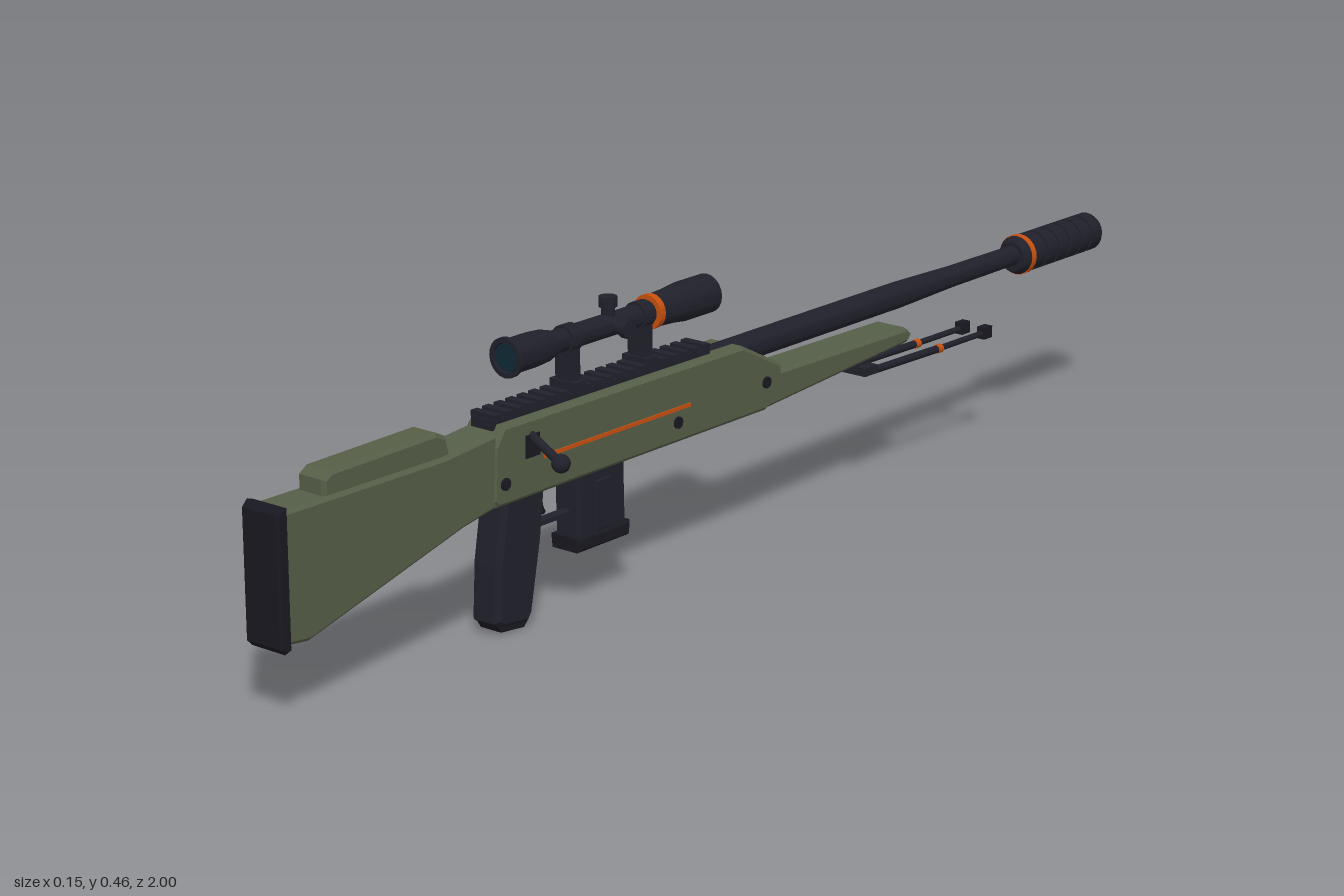
import * as THREE from 'three';
import { toCreasedNormals } from 'three/addons/utils/BufferGeometryUtils.js';

const paint = (name, color) => {
  const m = new THREE.MeshStandardMaterial({ color });
  m.name = name;
  return m;
};

export function createModel() {
  const green = paint('olive green', 0x555e47);
  const dark = paint('gunmetal', 0x20202b);
  const black = paint('rubber black', 0x181820);
  const orange = paint('orange accent', 0xc8500f);
  const glass = paint('lens glass', 0x0f2832);

  const model = new THREE.Group();
  model.name = 'rifle';
  const body = new THREE.Group(); // everything is built around the bore plane
  body.name = 'rifleBody';
  body.position.x = -0.0335;
  model.add(body);

  const add = (name, geo, mat, x = 0, y = 0, z = 0) => {
    const m = new THREE.Mesh(geo, mat);
    m.name = name;
    m.position.set(x, y, z);
    body.add(m);
    return m;
  };

  // Side outline in (z, y), extruded across x with bevelled edges
  const slab = (name, pts, half, bevel, mat) => {
    const shape = new THREE.Shape(pts.map(([z, y]) => new THREE.Vector2(z, y)));
    const geo = new THREE.ExtrudeGeometry(shape, {
      depth: 2 * (half - bevel), bevelEnabled: true, bevelSize: bevel,
      bevelThickness: bevel, bevelOffset: -bevel, bevelSegments: 1,
    });
    geo.translate(0, 0, -(half - bevel));
    geo.rotateY(-Math.PI / 2);
    return add(name, geo, mat);
  };

  // Turned part along z from [z, radius] pairs
  const turned = (name, pts, y, mat, sides = 20) => {
    const geo = new THREE.LatheGeometry(pts.map(([z, r]) => new THREE.Vector2(r, z)), sides);
    geo.rotateX(Math.PI / 2);
    return add(name, toCreasedNormals(geo, 0.6), mat, 0, y, 0);
  };

  const box = (name, w, h, d, mat, x, y, z) =>
    add(name, new THREE.BoxGeometry(w, h, d), mat, x, y, z);

  // Round rod between two points
  const rod = (name, a, b, r, mat) => {
    const p = new THREE.Vector3(...a), q = new THREE.Vector3(...b);
    const m = add(name, new THREE.CylinderGeometry(r, r, p.distanceTo(q), 12), mat);
    m.position.copy(p).add(q).multiplyScalar(0.5);
    m.quaternion.setFromUnitVectors(new THREE.Vector3(0, 1, 0), q.sub(p).normalize());
    return m;
  };

  // Stock
  slab('stock', [[0.55, 0.205], [0.62, 0.193], [0.94, 0.11], [0.985, 0.115], [0.985, 0.312], [0.66, 0.31], [0.55, 0.32]], 0.033, 0.006, green);
  slab('buttPad', [[0.978, 0.108], [0.99, 0.104], [1, 0.114], [1, 0.31], [0.99, 0.32], [0.978, 0.316]], 0.0365, 0.004, black);
  slab('cheekRest', [[0.9, 0.3], [0.9, 0.335], [0.885, 0.345], [0.67, 0.348], [0.65, 0.338], [0.64, 0.3]], 0.027, 0.006, green);

  // Receiver and fore-end
  slab('receiver', [[0.565, 0.215], [0.555, 0.205], [-0.07, 0.207], [-0.107, 0.246], [-0.107, 0.275], [-0.01, 0.325], [0.54, 0.328], [0.56, 0.3]], 0.036, 0.006, green);
  slab('foreEnd', [[-0.07, 0.208], [-0.44, 0.234], [-0.452, 0.246], [-0.435, 0.26], [-0.07, 0.265]], 0.0335, 0.006, green);

  // Barrel and suppressor
  turned('barrel', [[-0.8, 0], [-0.8, 0.017], [-0.6, 0.018], [-0.45, 0.022], [0.1, 0.022], [0.1, 0]], 0.307, dark);
  const can = [[-0.97, 0], [-0.97, 0.011], [-1, 0.011], [-1, 0.03], [-0.995, 0.033]];
  for (let z = -0.967; z < -0.81; z += 0.033) {
    can.push([z, 0.033], [z, 0.03], [z + 0.006, 0.03], [z + 0.006, 0.033]);
  }
  can.push([-0.785, 0.033], [-0.772, 0.026], [-0.772, 0]);
  turned('suppressor', can, 0.305, dark);
  turned('suppressorRing', [[-0.798, 0.03], [-0.798, 0.0345], [-0.787, 0.0345], [-0.787, 0.03]], 0.305, orange);

  // Toothed sight rail
  box('rail', 0.042, 0.016, 0.495, dark, 0, 0.328, 0.302);
  for (let i = 0; i < 20; i++) box('railTooth', 0.048, 0.009, 0.014, dark, 0, 0.339, 0.065 + i * 0.025);

  // Scope
  const sy = 0.415;
  turned('scopeTube', [
    [0.043, 0], [0.043, 0.025], [0.037, 0.026], [0.037, 0.031], [0.1, 0.031], [0.125, 0.028], [0.165, 0.026], [0.18, 0.018],
    [0.39, 0.018], [0.415, 0.025], [0.44, 0.027], [0.485, 0.027], [0.49, 0.031], [0.497, 0.031], [0.497, 0.023], [0.492, 0.022], [0.492, 0],
  ], sy, dark);
  turned('scopeRing', [[0.166, 0.018], [0.166, 0.0275], [0.178, 0.0275], [0.178, 0.018]], sy, orange);
  turned('frontLens', [[0.0405, 0], [0.0405, 0.0245], [0.043, 0.0245]], sy, glass);
  turned('rearLens', [[0.492, 0.0215], [0.4945, 0.0215], [0.4945, 0]], sy, glass);
  rod('topTurret', [0, sy, 0.268], [0, 0.448, 0.268], 0.011, dark);
  rod('topTurretCap', [0, 0.444, 0.268], [0, 0.46, 0.268], 0.0145, dark);
  rod('sideTurret', [0, sy, 0.268], [0.036, sy, 0.268], 0.011, dark);
  rod('sideTurretCap', [0.032, sy, 0.268], [0.043, sy, 0.268], 0.0145, dark);
  for (const z of [0.36, 0.195]) {
    box('scopeMount', 0.034, 0.07, 0.018, dark, 0, 0.368, z);
    box('scopeMountFoot', 0.05, 0.014, 0.026, dark, 0, 0.345, z);
    turned('scopeClamp', [[z - 0.011, 0.017], [z - 0.011, 0.022], [z + 0.011, 0.022], [z + 0.011, 0.017]], sy, dark);
  }

  // Bolt handle
  box('boltSlot', 0.008, 0.035, 0.03, black, 0.034, 0.285, 0.48);
  rod('boltHandle', [0.025, 0.305, 0.48], [0.09, 0.269, 0.48], 0.007, dark);
  add('boltKnob', new THREE.SphereGeometry(0.0145, 16, 12), dark, 0.092, 0.268, 0.48);

  // Side stripes and cross pins
  for (const s of [-1, 1]) {
    box('sideStripe', 0.003, 0.006, 0.335, orange, s * 0.0365, 0.262, 0.288);
    for (const [z, y] of [[0.54, 0.24], [0.15, 0.24], [-0.065, 0.254]])
      rod('pin', [s * 0.03, y, z], [s * 0.0395, y, z], 0.0095, black);
  }
  box('safetyPlate', 0.006, 0.036, 0.042, black, -0.0365, 0.233, 0.32);
  box('safetyMark', 0.003, 0.024, 0.01, orange, -0.0395, 0.235, 0.345);

  // Grip, magazine and trigger
  slab('grip', [[0.53, 0.215], [0.548, 0.11], [0.553, 0.022], [0.54, 0.012], [0.482, 0.006], [0.472, 0.02], [0.45, 0.13], [0.44, 0.215]], 0.028, 0.008, dark);
  slab('gripCap', [[0.545, 0.016], [0.538, 0.005], [0.488, 0], [0.479, 0.01]], 0.0225, 0.002, black);
  slab('magazine', [[0.368, 0.215], [0.366, 0.1], [0.258, 0.1], [0.26, 0.215]], 0.025, 0.005, dark);
  slab('magazineRib', [[0.33, 0.19], [0.33, 0.11], [0.296, 0.11], [0.296, 0.19]], 0.0275, 0.002, dark);
  slab('magazineBase', [[0.374, 0.108], [0.372, 0.085], [0.254, 0.085], [0.251, 0.108]], 0.0285, 0.004, black);
  box('triggerGuard', 0.018, 0.007, 0.1, dark, 0, 0.145, 0.41);
  const curve = new THREE.QuadraticBezierCurve3(
    new THREE.Vector3(0, 0.21, 0.42), new THREE.Vector3(0, 0.175, 0.435), new THREE.Vector3(0, 0.158, 0.42));
  add('trigger', new THREE.TubeGeometry(curve, 8, 0.005, 8), black);

  // Folded bipod
  box('bipodMount', 0.024, 0.035, 0.03, dark, 0, 0.217, -0.345);
  box('bipodHinge', 0.06, 0.014, 0.034, dark, 0, 0.207, -0.345);
  for (const s of [-1, 1]) {
    const x = s * 0.023;
    rod('bipodLeg', [x, 0.204, -0.34], [x, 0.2, -0.54], 0.0065, dark);
    rod('bipodLegTip', [x, 0.2, -0.53], [x, 0.199, -0.665], 0.005, dark);
    rod('bipodRing', [x, 0.2, -0.53], [x, 0.2, -0.542], 0.0075, orange);
    box('bipodFoot', 0.016, 0.02, 0.022, black, x, 0.2, -0.666);
  }
  return model;
}
